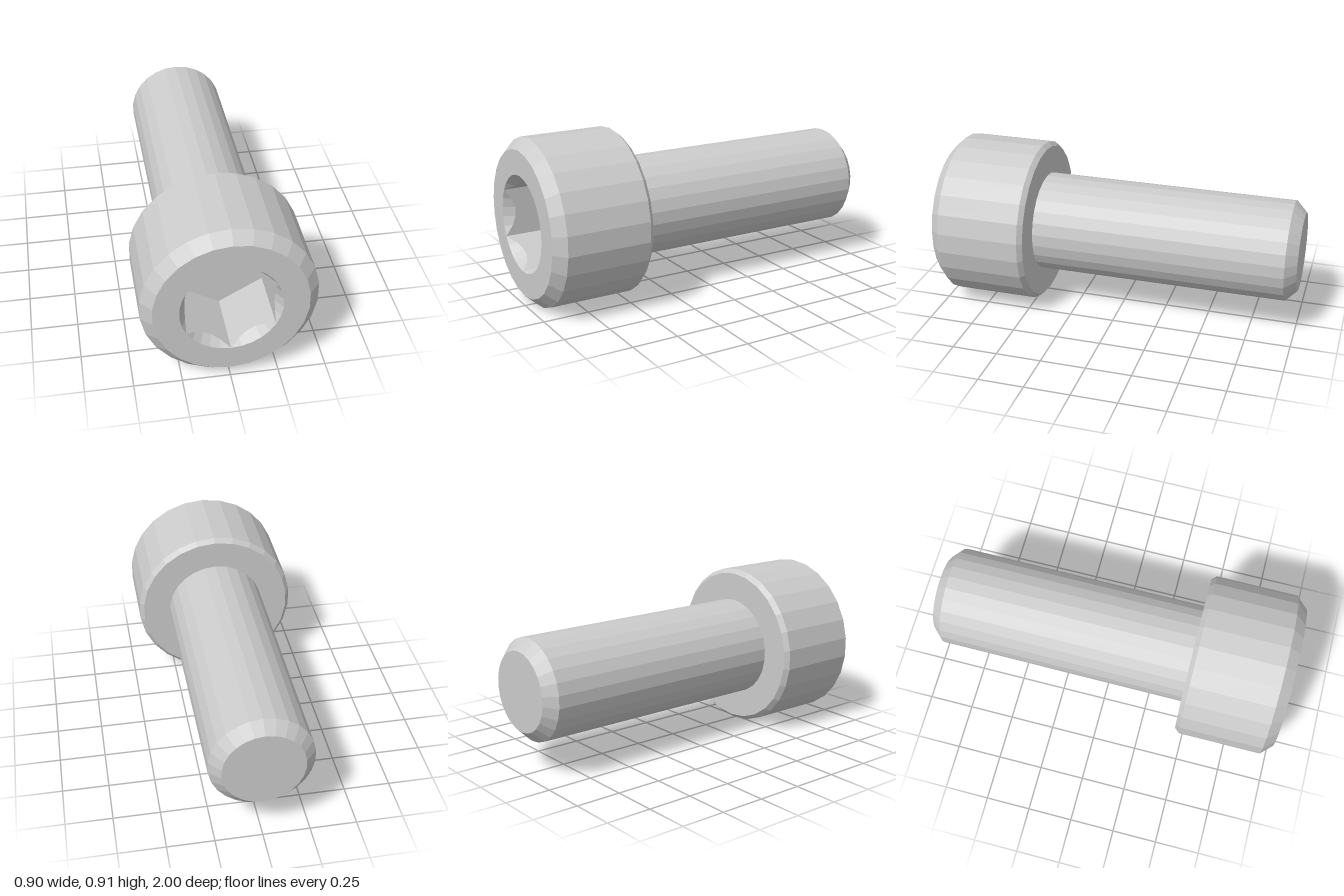
import * as THREE from 'three';

const SIDES = 26;
const CENTRE_Y = 0.453;
const material = new THREE.MeshStandardMaterial({ color: 0xcccccc, flatShading: true });

function addPart(group, name, geometry) {
  const faceted = geometry.index ? geometry.toNonIndexed() : geometry;
  faceted.computeVertexNormals();
  const mesh = new THREE.Mesh(faceted, material);
  mesh.name = name;
  group.add(mesh);
}

// Solid of revolution along z from [radius, z] pairs, listed back to front
function turned(profile) {
  const points = profile.map(([r, z]) => new THREE.Vector2(r, z));
  return new THREE.LatheGeometry(points, SIDES).rotateX(Math.PI / 2);
}

// Regular polygon with a corner at the top
function polygon(radius, sides) {
  return Array.from({ length: sides }, (_, i) => {
    const a = Math.PI / 2 + (i / sides) * Math.PI * 2;
    return new THREE.Vector2(radius * Math.cos(a), radius * Math.sin(a));
  });
}

// Hexagonal recess: round countersunk rim, six walls and a flat floor
function socketGeometry(radius, depth, perSide) {
  const apothem = radius * Math.cos(Math.PI / 6);
  const count = perSide * 6;
  const slope = 1.73;
  const rows = [[], [], [], []];
  for (let i = 0; i <= count; i++) {
    const a = Math.PI / 2 + (i / count) * Math.PI * 2;
    const offset = ((i % perSide) / perSide) * (Math.PI / 3) - Math.PI / 6;
    const hex = apothem / Math.cos(offset);
    const at = (r, z) => [r * Math.cos(a), r * Math.sin(a), z];
    rows[0].push(at(radius, 1));
    rows[1].push(at(hex, 1 - (radius - hex) * slope));
    rows[2].push(at(hex, 1 - depth));
    rows[3].push([0, 0, 1 - depth]);
  }
  const positions = [];
  for (let r = 0; r < 3; r++) {
    for (let i = 0; i < count; i++) {
      const [a, b, c, d] = [rows[r][i], rows[r][i + 1], rows[r + 1][i + 1], rows[r + 1][i]];
      positions.push(...a, ...b, ...c);
      if (r < 2) positions.push(...a, ...c, ...d);
    }
  }
  const geometry = new THREE.BufferGeometry();
  geometry.setAttribute('position', new THREE.Float32BufferAttribute(positions, 3));
  return geometry;
}

export function createModel() {
  const group = new THREE.Group();
  group.name = 'socketHeadBolt';
  const bolt = new THREE.Group();
  bolt.name = 'bolt';
  bolt.position.y = CENTRE_Y;
  group.add(bolt);

  // Plain shaft with a chamfered tip
  addPart(bolt, 'shaft', turned([[0, -1], [0.215, -1], [0.275, -0.94], [0.275, 0.455]]));

  // Head with bevelled front and back edges
  addPart(bolt, 'head', turned([[0.275, 0.455], [0.43, 0.455], [0.453, 0.48], [0.453, 0.94], [0.396, 1]]));

  // Flat front ring around the socket
  const ring = new THREE.Shape(polygon(0.396, SIDES));
  ring.holes.push(new THREE.Path(polygon(0.262, 30)));
  addPart(bolt, 'headFace', new THREE.ShapeGeometry(ring).translate(0, 0, 1));

  // Hex drive
  addPart(bolt, 'hexSocket', socketGeometry(0.262, 0.355, 5));

  return group;
}
